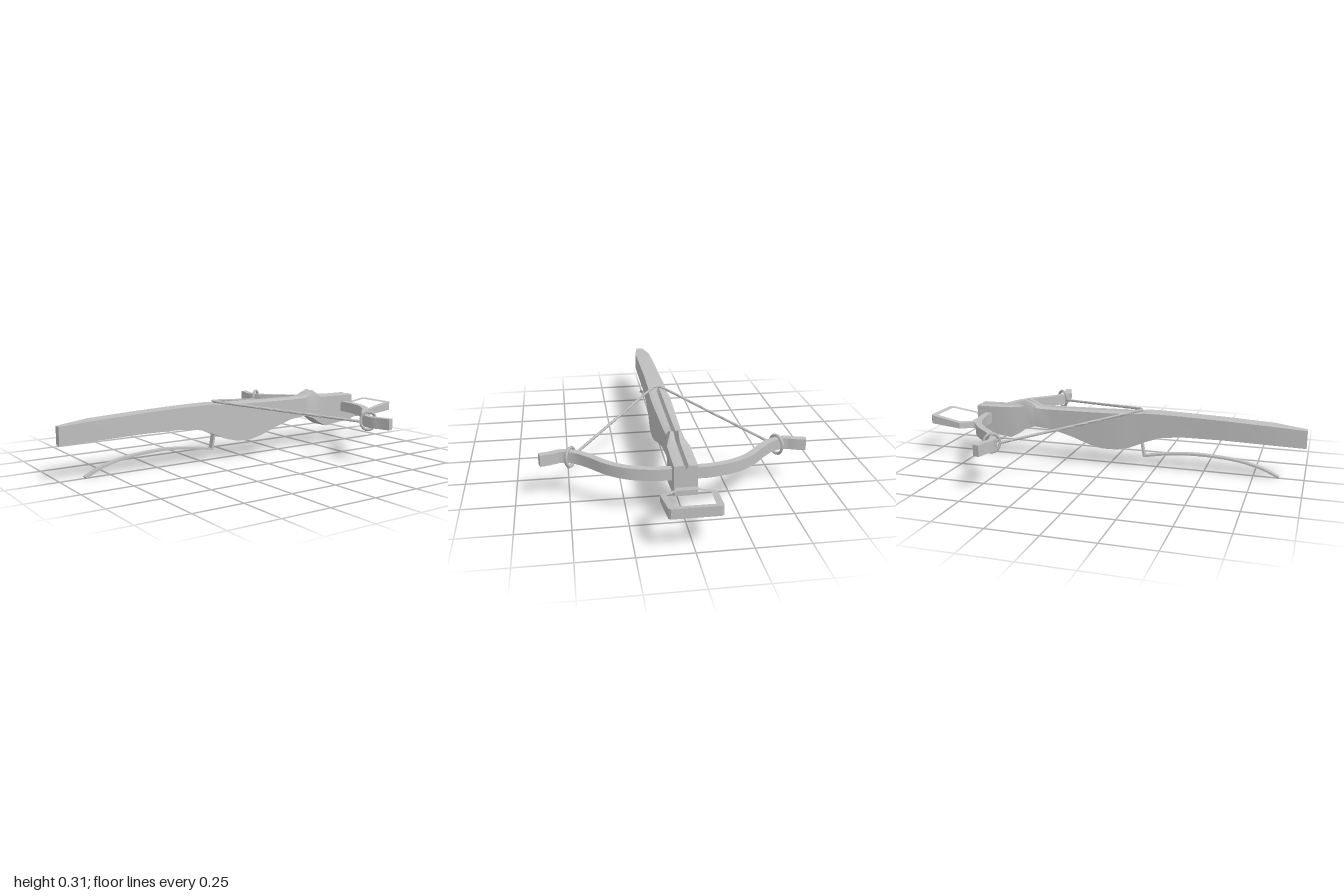
import * as THREE from 'three';
import { toCreasedNormals } from 'three/addons/utils/BufferGeometryUtils.js';

const grey = new THREE.MeshStandardMaterial({ color: 0xbfbfbf });
grey.name = 'plain grey';

function part(name, geometry, crease = 0.6) {
  const mesh = new THREE.Mesh(toCreasedNormals(geometry, crease), grey);
  mesh.name = name;
  return mesh;
}

// Extruded band of even thickness that follows a smooth flat curve
function strip(points, thickness, depth, segments) {
  const curve = new THREE.SplineCurve(points.map(([x, y]) => new THREE.Vector2(x, y)));
  const a = [], b = [];
  for (let i = 0; i <= segments; i++) {
    const p = curve.getPoint(i / segments), t = curve.getTangent(i / segments);
    const n = new THREE.Vector2(-t.y, t.x).multiplyScalar(thickness / 2);
    a.push(p.clone().add(n));
    b.unshift(p.clone().sub(n));
  }
  return new THREE.ExtrudeGeometry(new THREE.Shape([...a, ...b]), { depth, bevelEnabled: false });
}

// Stock lofted along x from cross-sections with a grooved top
function stockGeometry() {
  // x, bottom, top, half width, shoulder drop, groove depth
  const stations = [
    [-1, 0.17, 0.26, 0.018, 0, 0], [-0.84, 0.18, 0.275, 0.042, 0, 0],
    [-0.6, 0.186, 0.286, 0.044, 0, 0], [-0.38, 0.184, 0.293, 0.044, 0, 0],
    [-0.27, 0.17, 0.295, 0.046, 0, 0], [-0.19, 0.14, 0.295, 0.047, 0, 0],
    [-0.165, 0.128, 0.294, 0.047, 0.004, 0.015], [-0.11, 0.106, 0.293, 0.05, 0.006, 0.02],
    [-0.05, 0.092, 0.291, 0.052, 0.006, 0.02], [0.03, 0.09, 0.289, 0.051, 0.006, 0.02],
    [0.1, 0.104, 0.287, 0.049, 0.006, 0.02], [0.2, 0.138, 0.285, 0.046, 0.006, 0.02],
    [0.31, 0.168, 0.283, 0.043, 0.006, 0.02], [0.4, 0.176, 0.283, 0.04, 0.006, 0.02],
    [0.425, 0.174, 0.3, 0.038, 0.018, 0.035], [0.47, 0.157, 0.315, 0.037, 0.03, 0.048],
    [0.51, 0.13, 0.288, 0.046, 0.01, 0.022], [0.55, 0.11, 0.281, 0.053, 0.005, 0.02],
    [0.65, 0.12, 0.277, 0.053, 0.004, 0.02], [0.745, 0.13, 0.275, 0.053, 0.003, 0.02],
  ];
  const count = 9, positions = [], index = [];
  for (const [x, bottom, top, w, drop, groove] of stations) {
    const rail = Math.min(0.028, w * 0.7), g = Math.min(0.011, w * 0.4);
    const section = [[-w, bottom], [w, bottom], [w, top - drop], [rail, top], [g, top],
      [0, top - groove], [-g, top], [-rail, top], [-w, top - drop]];
    for (const [z, y] of section) positions.push(x, y, z);
  }
  for (let i = 0; i < stations.length - 1; i++) {
    for (let j = 0; j < count; j++) {
      const a = i * count + j, b = i * count + (j + 1) % count;
      index.push(a, a + count, b, b, a + count, b + count);
    }
  }
  const last = (stations.length - 1) * count;
  for (let k = 1; k < count - 1; k++) {
    const p = (5 + k) % count, q = (6 + k) % count;
    index.push(5, p, q, last + 5, last + q, last + p);
  }
  const geometry = new THREE.BufferGeometry();
  geometry.setAttribute('position', new THREE.Float32BufferAttribute(positions, 3));
  geometry.setIndex(index);
  return geometry;
}

// Foot loop: flat outline with a hole, its height and slope set by x
function stirrupGeometry() {
  const outline = (pts) => [...pts, ...pts.map(([x, z]) => [x, -z]).reverse()]
    .map(([x, z]) => new THREE.Vector2(x, z));
  const shape = new THREE.Shape(outline([[0.735, 0.05], [0.775, 0.055], [0.822, 0.125], [0.99, 0.115], [1, 0.105]]));
  shape.holes.push(new THREE.Path(outline([[0.79, 0.045], [0.832, 0.095], [0.972, 0.085]])));
  const geometry = new THREE.ExtrudeGeometry(shape, { depth: 1, bevelEnabled: false });
  geometry.rotateX(Math.PI / 2).translate(0, 1, 0);
  const pos = geometry.attributes.position;
  const { lerp, clamp } = THREE.MathUtils;
  for (let i = 0; i < pos.count; i++) {
    const x = pos.getX(i);
    const t = clamp((x - 0.735) / 0.09, 0, 1), u = clamp((x - 0.825) / 0.175, 0, 1);
    const low = lerp(lerp(0.133, 0.155, t), 0.168, u);
    const high = lerp(lerp(0.17, 0.186, t), 0.215, u);
    pos.setY(i, lerp(low, high, pos.getY(i)));
  }
  return geometry;
}

export function createModel() {
  const model = new THREE.Group();
  model.name = 'crossbow';
  model.add(part('stock', stockGeometry()), part('stirrup', stirrupGeometry(), 0.3));

  // Recurved bow, one band from tip to tip
  const half = [[0.678, 0.07], [0.673, 0.14], [0.645, 0.24], [0.59, 0.325], [0.51, 0.4],
    [0.455, 0.465], [0.436, 0.53], [0.452, 0.58], [0.465, 0.63]];
  const path = [...half.map(([x, z]) => [x, -z]).reverse(), [0.678, 0], ...half];
  const bow = strip(path, 0.033, 0.055, 72);
  bow.rotateX(Math.PI / 2).translate(0, 0.238, 0);
  model.add(part('bow', bow));

  // Long curved trigger lever under the stock
  const lever = strip([[-0.184, 0.056], [-0.3, 0.076], [-0.45, 0.088], [-0.6, 0.082],
    [-0.7, 0.069], [-0.8, 0.042], [-0.877, 0.006]], 0.01, 0.03, 28);
  lever.translate(0, 0, -0.015);
  const stem = strip([[-0.168, 0.14], [-0.184, 0.053]], 0.01, 0.03, 1);
  stem.translate(0, 0, -0.015);
  model.add(part('triggerLever', lever), part('triggerStem', stem));

  // Drawn string, hooked over the stock
  const points = [];
  for (const s of [-1, 1]) {
    const side = [[0.425, 0.206, 0.472], [0.1, 0.259, 0.222], [-0.13, 0.297, 0.045], [-0.16, 0.302, 0.02]]
      .map(([x, y, z]) => new THREE.Vector3(x, y, z * s));
    points.push(...(s < 0 ? side : [new THREE.Vector3(-0.168, 0.303, 0), ...side.reverse()]));
  }
  const string = new THREE.TubeGeometry(new THREE.CatmullRomCurve3(points), 64, 0.007, 6);
  model.add(part('string', string, 1.2));

  // String loops around the limbs
  for (const s of [-1, 1]) {
    const loop = new THREE.TorusGeometry(0.046, 0.008, 6, 20);
    loop.scale(0.86, 1, 1).rotateY(-0.56 * s).translate(0.452, 0.21, 0.488 * s);
    model.add(part(s > 0 ? 'frontStringLoop' : 'backStringLoop', loop, 1.2));
  }
  return model;
}
